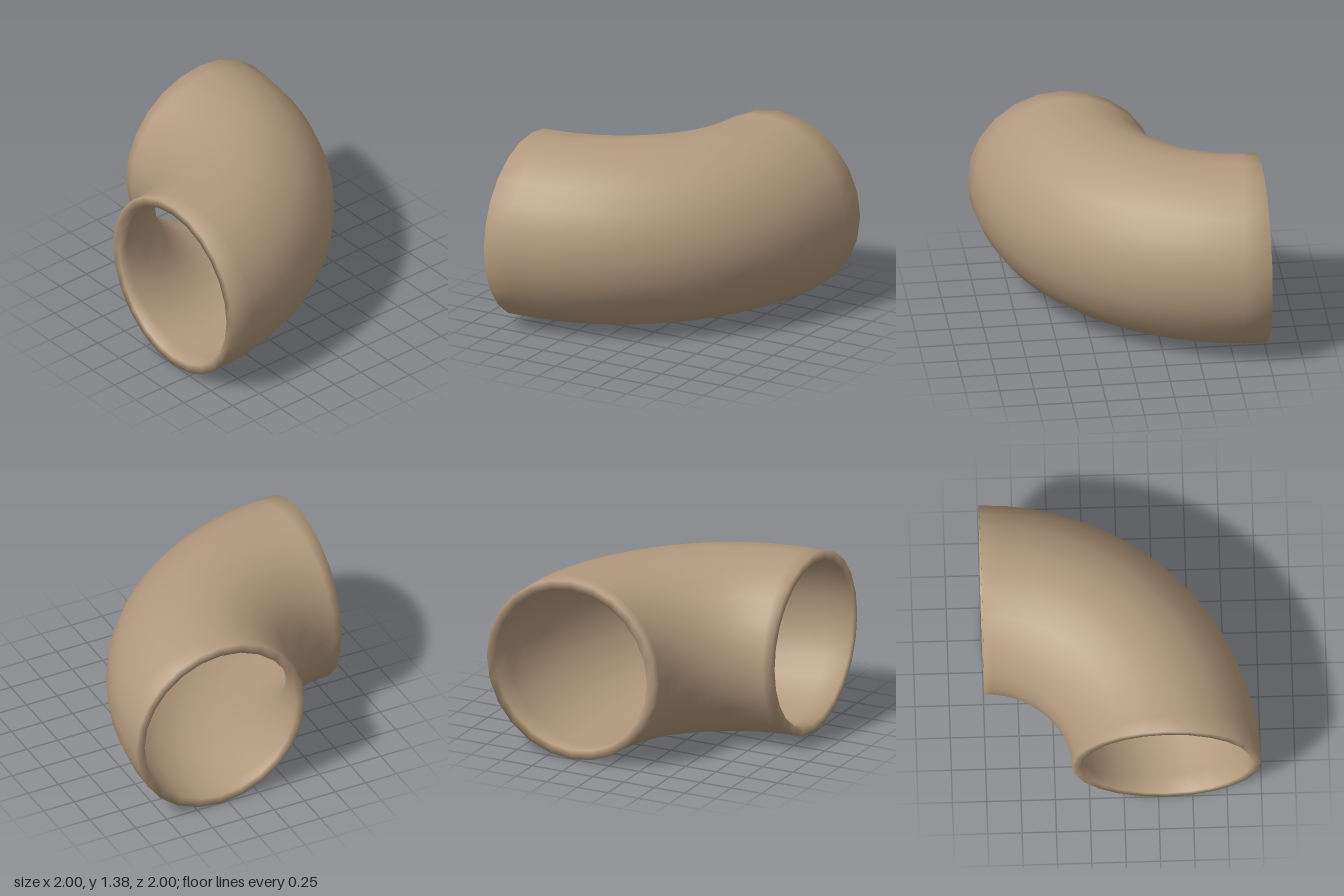
import * as THREE from 'three';

const BEND_RADIUS = 1.31, OUTER = 0.69, INNER = 0.62;
const ARC_STEPS = 16, SIDES = 24;

// Closed quarter-bend shell: out along the outer wall, back along the inner wall.
// Wall and rim share vertices, so the ends shade softly.
function elbowGeometry() {
  const loop = [];
  for (let i = 0; i <= ARC_STEPS; i++) loop.push([i, OUTER]);
  for (let i = ARC_STEPS; i >= 0; i--) loop.push([i, INNER]);

  const positions = [], indices = [], n = loop.length;
  for (const [step, r] of loop) {
    const t = (step / ARC_STEPS) * Math.PI / 2;
    for (let j = 0; j < SIDES; j++) {
      const a = (j / SIDES) * Math.PI * 2;
      const R = BEND_RADIUS + r * Math.cos(a);
      positions.push(-1 + R * Math.sin(t), OUTER + r * Math.sin(a), 1 - R * Math.cos(t));
    }
  }
  for (let i = 0; i < n; i++) {
    for (let j = 0; j < SIDES; j++) {
      const i2 = (i + 1) % n, j2 = (j + 1) % SIDES;
      const a = i * SIDES + j, b = i * SIDES + j2;
      const c = i2 * SIDES + j2, d = i2 * SIDES + j;
      indices.push(a, b, d, b, c, d);
    }
  }
  const geometry = new THREE.BufferGeometry();
  geometry.setAttribute('position', new THREE.Float32BufferAttribute(positions, 3));
  geometry.setIndex(indices);
  geometry.computeVertexNormals();
  return geometry;
}

export function createModel() {
  const group = new THREE.Group();
  group.name = 'pipeElbow';
  const tan = new THREE.MeshStandardMaterial({ color: 0xb39a7d });
  tan.name = 'tan';
  const pipe = new THREE.Mesh(elbowGeometry(), tan);
  pipe.name = 'elbowPipe';
  group.add(pipe);
  return group;
}
